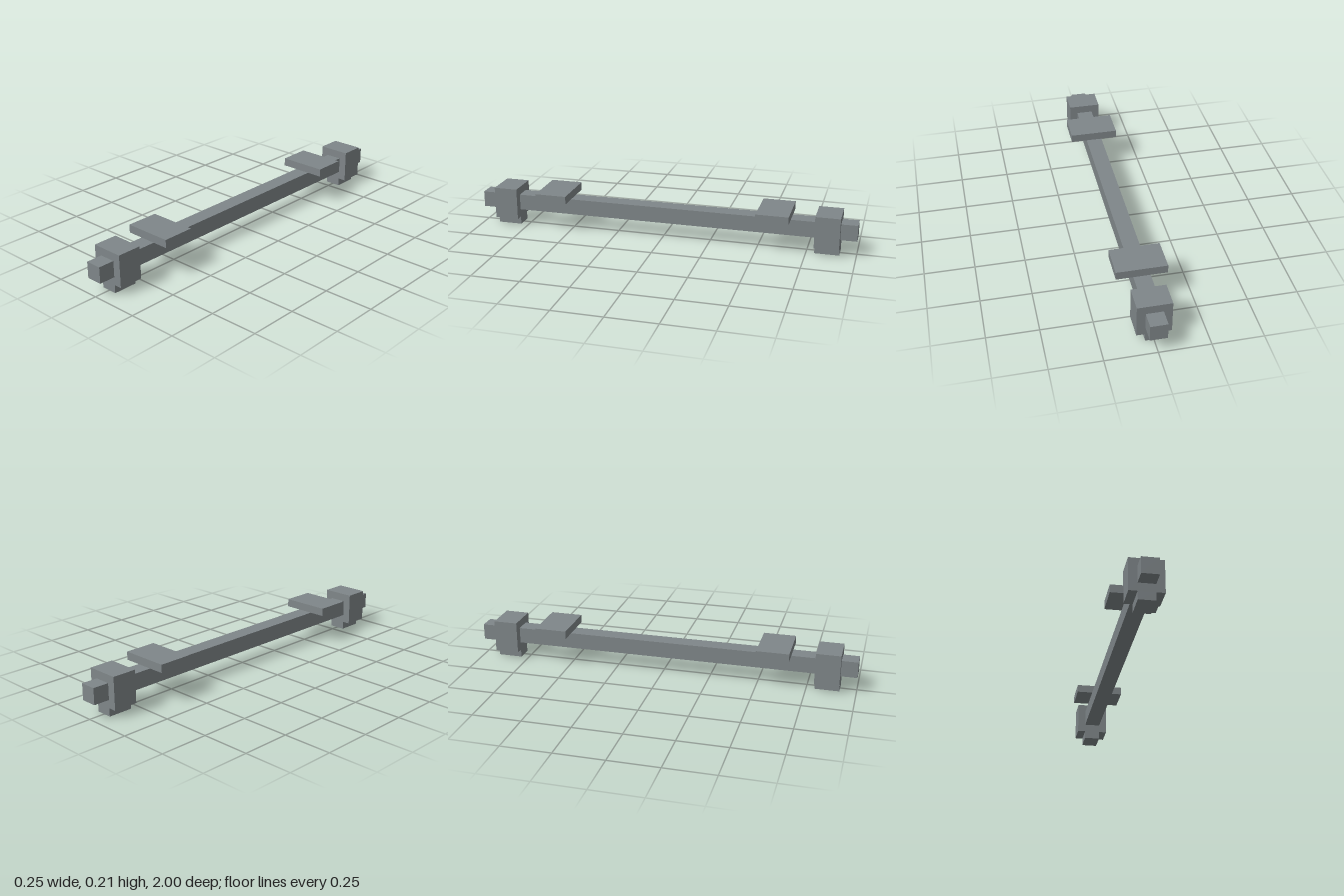
import * as THREE from 'three';

// Everything sits on a grid of 48 units along the bar's length
const U = 1 / 24;

export function createModel() {
  const group = new THREE.Group();
  group.name = 'bar';
  const steel = new THREE.MeshStandardMaterial({ color: 0x7f8689 });
  steel.name = 'greySteel';

  // Box centred on x, given by its width, bottom, top and z range in grid units
  const block = (name, width, y0, y1, z0, z1) => {
    const geometry = new THREE.BoxGeometry(width * U, (y1 - y0) * U, (z1 - z0) * U);
    const mesh = new THREE.Mesh(geometry, steel);
    mesh.name = name;
    mesh.position.set(0, (y0 + y1) / 2 * U, (z0 + z1) / 2 * U);
    group.add(mesh);
  };

  // Long square shaft
  block('shaft', 2, 2, 4, -24, 24);

  // Collar, foot and top plate at each end
  for (const [end, s] of [['front', 1], ['back', -1]]) {
    const pair = (name, width, y0, y1, near, far) =>
      block(end + name, width, y0, y1, Math.min(s * near, s * far), Math.max(s * near, s * far));
    pair('Collar', 4, 1, 5, 19, 22);
    pair('Foot', 2, 0, 1, 19, 22);
    pair('Plate', 6, 4, 5, 12, 16);
  }

  return group;
}
